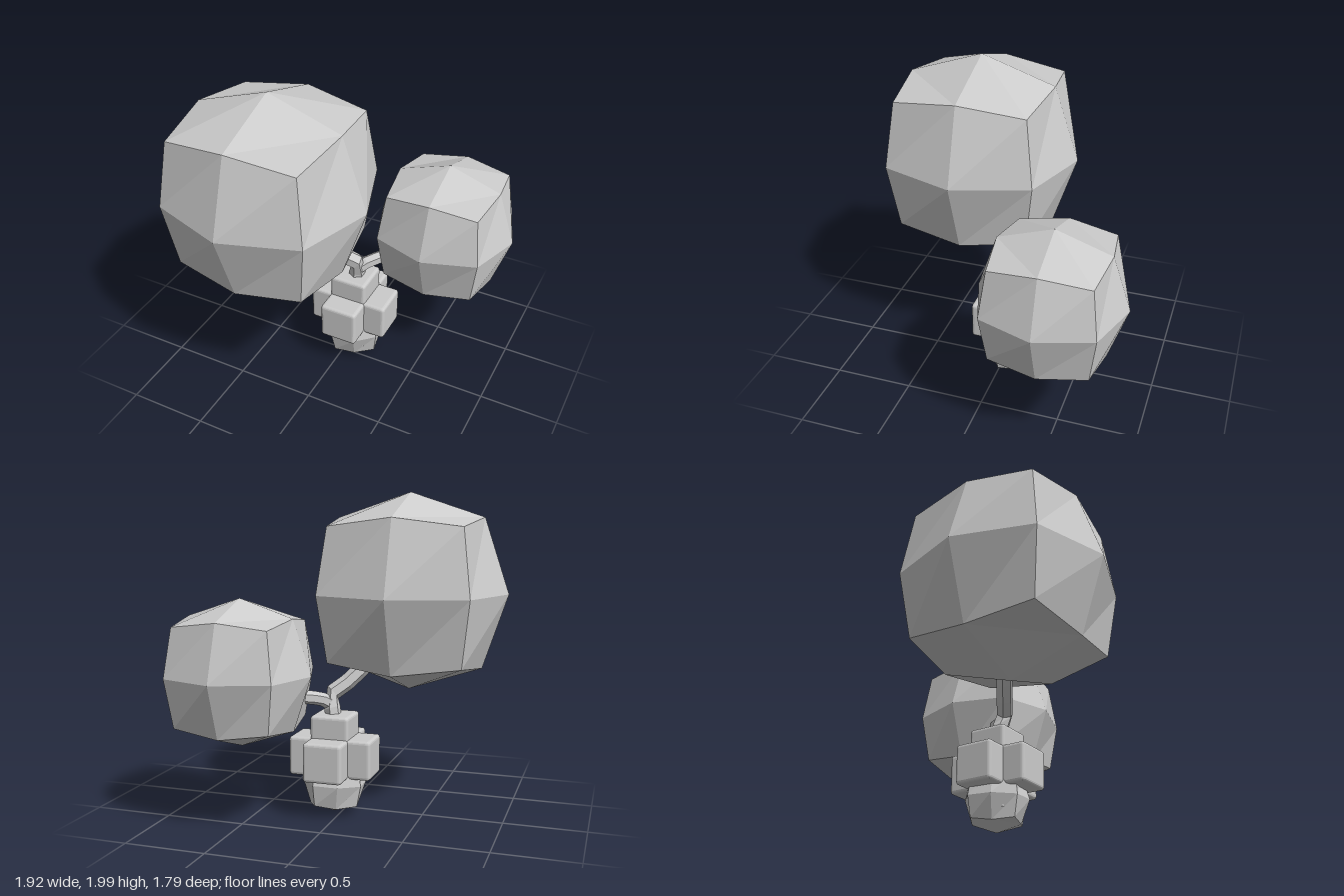
import * as THREE from 'three';
import { RoundedBoxGeometry } from 'three/addons/geometries/RoundedBoxGeometry.js';

const grey = new THREE.MeshStandardMaterial({ color: 0xcccccc, flatShading: true });

function add(parent, name, geometry, x = 0, y = 0, z = 0) {
  const mesh = new THREE.Mesh(geometry, grey);
  mesh.name = name;
  mesh.position.set(x, y, z);
  parent.add(mesh);
  return mesh;
}

// Faceted ball: a 2x2x2 box whose edge and corner vertices are pulled inwards
function facetedBall(radius) {
  const geometry = new THREE.BoxGeometry(2, 2, 2, 2, 2, 2);
  const pos = geometry.attributes.position;
  const v = new THREE.Vector3();
  const scale = [0, 1, 0.75, 0.665]; // face centre, edge middle, corner
  for (let i = 0; i < pos.count; i++) {
    v.fromBufferAttribute(pos, i);
    const count = Math.round(Math.abs(v.x) + Math.abs(v.y) + Math.abs(v.z));
    v.multiplyScalar(radius * scale[count]);
    pos.setXYZ(i, v.x, v.y, v.z);
  }
  geometry.computeVertexNormals();
  return geometry;
}

// Hexagonal branch through a few points
function branch(points, radius) {
  const curve = new THREE.CatmullRomCurve3(points.map(p => new THREE.Vector3(...p)));
  return new THREE.TubeGeometry(curve, 6, radius, 6);
}

export function createModel() {
  const model = new THREE.Group();
  model.name = 'blockPotTree';

  // Foliage
  add(model, 'largeFoliage', facetedBall(0.625), -0.34, 1.375, 0.265);
  add(model, 'smallFoliage', facetedBall(0.446), 0.513, 0.927, -0.45);

  // Trunk and its fork
  add(model, 'trunk', branch([
    [0.05, 0.56, -0.08], [0.065, 0.66, -0.075], [0.09, 0.73, -0.06],
    [-0.03, 0.84, 0.02], [-0.2, 1.04, 0.13]], 0.052));
  add(model, 'sideBranch', branch([
    [0.075, 0.69, -0.07], [0.13, 0.73, -0.12], [0.21, 0.75, -0.2],
    [0.34, 0.83, -0.32]], 0.043));

  // Base: six rounded blocks set around a centre
  const base = new THREE.Group();
  base.name = 'base';
  base.position.set(0.047, 0.372, -0.083);
  model.add(base);
  const size = 0.245, offset = 0.14;
  const block = new RoundedBoxGeometry(size, size, size, 2, 0.02);
  const blocks = {
    leftBlock: [1, 0, 0], rightBlock: [-1, 0, 0], topBlock: [0, 1, 0],
    bottomBlock: [0, -1, 0], frontBlock: [0, 0, 1], backBlock: [0, 0, -1],
  };
  for (const [name, dir] of Object.entries(blocks)) {
    add(base, name, block, ...dir.map(d => d * offset));
  }

  // Faceted foot under the blocks
  const foot = add(model, 'foot', facetedBall(0.197), 0.047, 0.202, -0.083);
  foot.rotation.set(0.03, Math.PI / 8, 0.03);

  return model;
}
